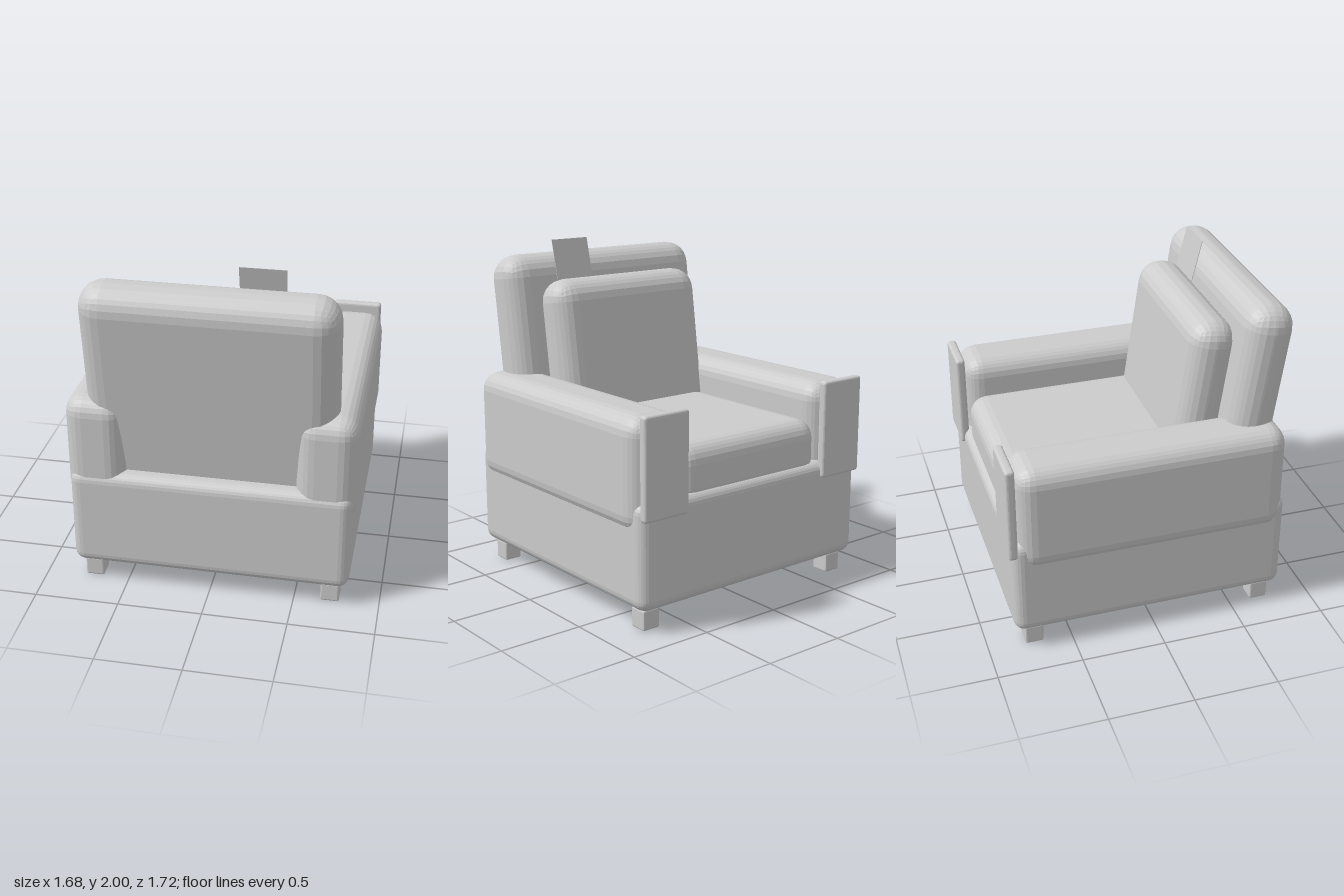
import * as THREE from 'three';
import { RoundedBoxGeometry } from 'three/addons/geometries/RoundedBoxGeometry.js';

export function createModel() {
  const group = new THREE.Group();
  group.name = 'armchair';
  const fabric = new THREE.MeshStandardMaterial({ color: 0xcccccc, flatShading: true });
  fabric.name = 'plain grey';

  // Bevelled block placed by its centre, optionally leaning back (towards +z)
  function block(name, size, centre, radius, segments = 3, lean = 0) {
    const mesh = new THREE.Mesh(new RoundedBoxGeometry(...size, segments, radius), fabric);
    mesh.name = name;
    mesh.position.set(...centre);
    mesh.rotation.x = lean;
    group.add(mesh);
    return mesh;
  }

  const lean = THREE.MathUtils.degToRad(8);

  // Body and seat; the sitter faces -z
  block('base', [1.64, 0.62, 1.645], [0, 0.435, -0.022], 0.065);
  block('seatCushion', [1.06, 0.36, 1.4], [0, 0.82, -0.11], 0.11);

  // Leaning backrest and loose cushion
  block('backrest', [1.44, 1.32, 0.295], [0, 1.257, 0.632], 0.14, 3, lean);
  block('backCushion', [1.09, 0.94, 0.285], [0, 1.31, 0.388], 0.135, 3, lean);

  for (const side of [-1, 1]) {
    const name = side > 0 ? 'left' : 'right';

    // Arm with its flat front panel
    block(name + 'Arm', [0.35, 0.66, 1.6], [side * 0.665, 0.88, -0.01], 0.11);
    block(name + 'ArmPanel', [0.305, 0.585, 0.055], [side * 0.665, 0.942, -0.838], 0.018, 2);

    // Legs
    for (const z of [0.685, -0.725]) {
      block(name + (z > 0 ? 'Back' : 'Front') + 'Leg', [0.11, 0.12, 0.11], [side * 0.71, 0.06, z], 0.01, 1);
    }
  }

  // Thin fabric tab standing at the top of the backrest
  const tab = new THREE.Mesh(new THREE.BoxGeometry(0.26, 0.257, 0.003), fabric);
  tab.name = 'fabricTab';
  tab.position.set(0.27, 1.875, 0.56);
  tab.rotation.x = Math.atan2(0.06, 0.25);
  group.add(tab);

  return group;
}
